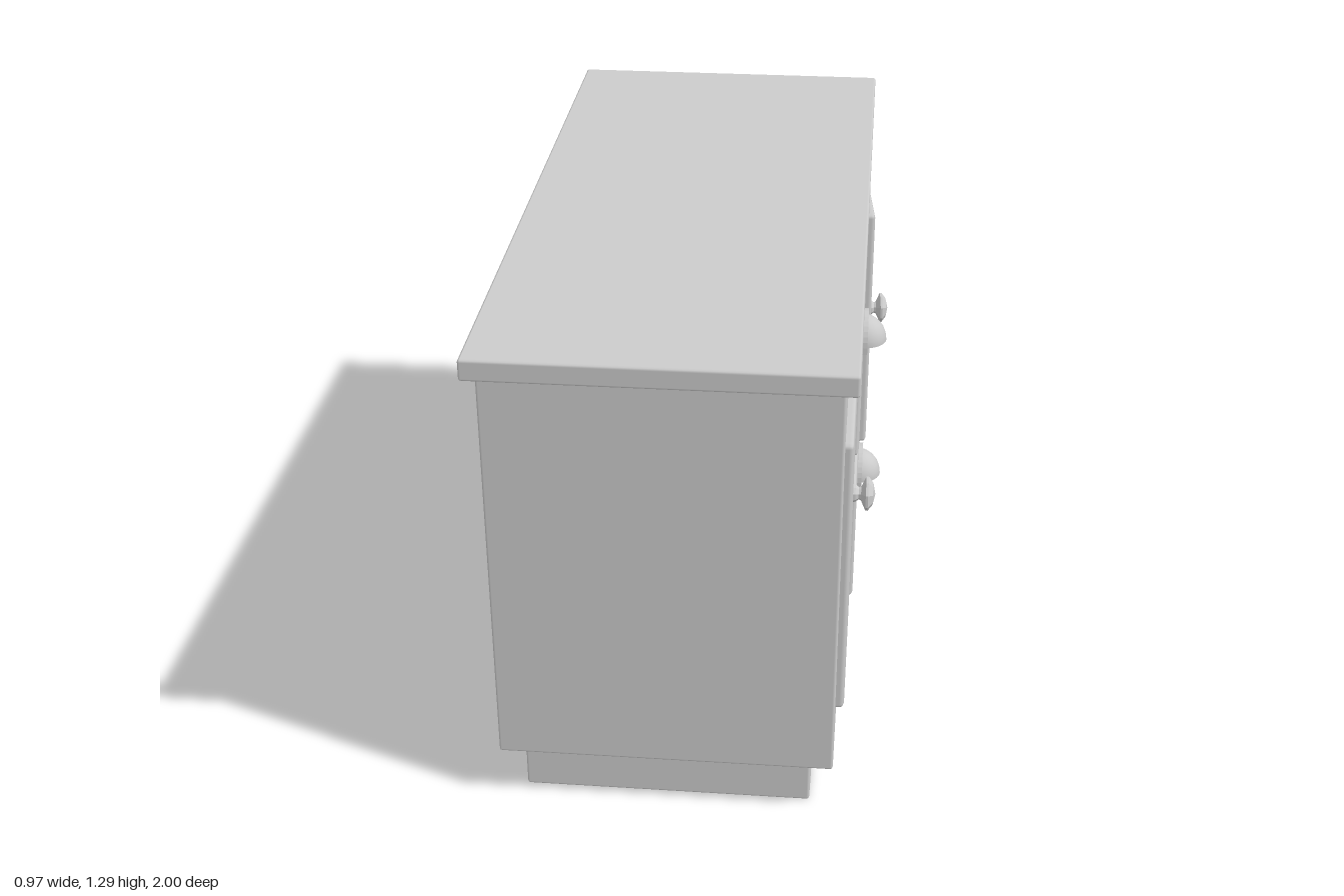
import * as THREE from 'three';
import { RoundedBoxGeometry } from 'three/addons/geometries/RoundedBoxGeometry.js';

const material = new THREE.MeshStandardMaterial({ color: 0xcccccc });
const faceted = new THREE.MeshStandardMaterial({ color: 0xcccccc, flatShading: true });
const thin = new THREE.MeshStandardMaterial({ color: 0xcccccc, side: THREE.DoubleSide });

function add(parent, name, geometry, mat = material) {
  const mesh = new THREE.Mesh(geometry, mat);
  mesh.name = name;
  parent.add(mesh);
  return mesh;
}

// Softly chamfered box given by its limits on each axis
function block(parent, name, [x0, x1], [y0, y1], [z0, z1], bevel = 0.007) {
  const mesh = add(parent, name, new RoundedBoxGeometry(x1 - x0, y1 - y0, z1 - z0, 1, bevel));
  mesh.position.set((x0 + x1) / 2, (y0 + y1) / 2, (z0 + z1) / 2);
}

// Door or drawer front: group origin lies on the centre of its outer face
function panel(parent, name, [x, y, z], height, width, tilt = 0, swing = 0) {
  const group = new THREE.Group();
  group.name = name;
  group.position.set(x, y, z);
  group.rotation.set(tilt, swing, 0);
  block(group, name + 'Panel', [-0.05, 0], [-height / 2, height / 2], [-width / 2, width / 2], 0.012);
  parent.add(group);
  return group;
}

// Eight-sided turned knob pointing along +x
function knob(parent, y, z) {
  const profile = [[0, -0.005], [0.024, -0.005], [0.022, 0.006], [0.016, 0.014], [0.018, 0.02],
    [0.044, 0.032], [0.044, 0.038], [0.028, 0.05], [0, 0.056]];
  const geometry = new THREE.LatheGeometry(profile.map(p => new THREE.Vector2(...p)), 8, Math.PI / 8);
  geometry.rotateZ(-Math.PI / 2);
  add(parent, 'knob', geometry, faceted).position.set(0, y, z);
}

// Cup pull: hollow quarter dome on an arched flange
function cupPull(parent, y) {
  const pull = new THREE.Group();
  pull.name = 'cupPull';
  pull.position.set(0, y, 0);

  const arch = new THREE.Shape();
  arch.moveTo(0.077, -0.012);
  arch.lineTo(0.077, 0.008);
  arch.absellipse(0, 0.008, 0.077, 0.077, 0, Math.PI, false);
  arch.lineTo(-0.077, -0.012);
  arch.lineTo(-0.056, -0.012);
  arch.lineTo(-0.056, 0.005);
  arch.absellipse(0, 0.005, 0.056, 0.06, Math.PI, 0, true);
  arch.lineTo(0.056, -0.012);
  const flange = new THREE.ExtrudeGeometry(arch, {
    depth: 0.012, bevelEnabled: false, curveSegments: 8,
  });
  flange.rotateY(Math.PI / 2);
  add(pull, 'pullFlange', flange);

  const dome = new THREE.SphereGeometry(1, 12, 6, Math.PI / 2, Math.PI, 0, Math.PI / 2);
  dome.scale(0.063, 0.07, 0.062);
  add(pull, 'pullCup', dome, thin);
  parent.add(pull);
}

export function createModel() {
  const cabinet = new THREE.Group();
  cabinet.name = 'sideboard';

  // Carcass
  block(cabinet, 'plinth', [-0.4, 0.333], [0, 0.155], [-0.902, 0.902]);
  block(cabinet, 'body', [-0.457, 0.391], [0.145, 1.24], [-0.955, 0.955]);
  block(cabinet, 'worktop', [-0.485, 0.421], [1.233, 1.288], [-1, 1]);

  // Doors: one slightly crooked, the other a little ajar
  const leftDoor = panel(cabinet, 'leftDoor', [0.412, 0.677, 0.675], 0.765, 0.45, 0.01);
  knob(leftDoor, 0.053, -0.1);
  const rightDoor = panel(cabinet, 'rightDoor', [0.418, 0.677, -0.673], 0.765, 0.455, 0.003, 0.095);
  knob(rightDoor, 0.043, 0.143);

  // Drawers, the upper one hanging slightly askew
  const upper = panel(cabinet, 'upperDrawer', [0.42, 0.907, 0.003], 0.353, 0.8, -0.0125);
  cupPull(upper, -0.025);
  const lower = panel(cabinet, 'lowerDrawer', [0.42, 0.473, 0.003], 0.353, 0.805);
  cupPull(lower, -0.018);

  // turn the arched flanges so that their front faces outward
  return cabinet;
}
